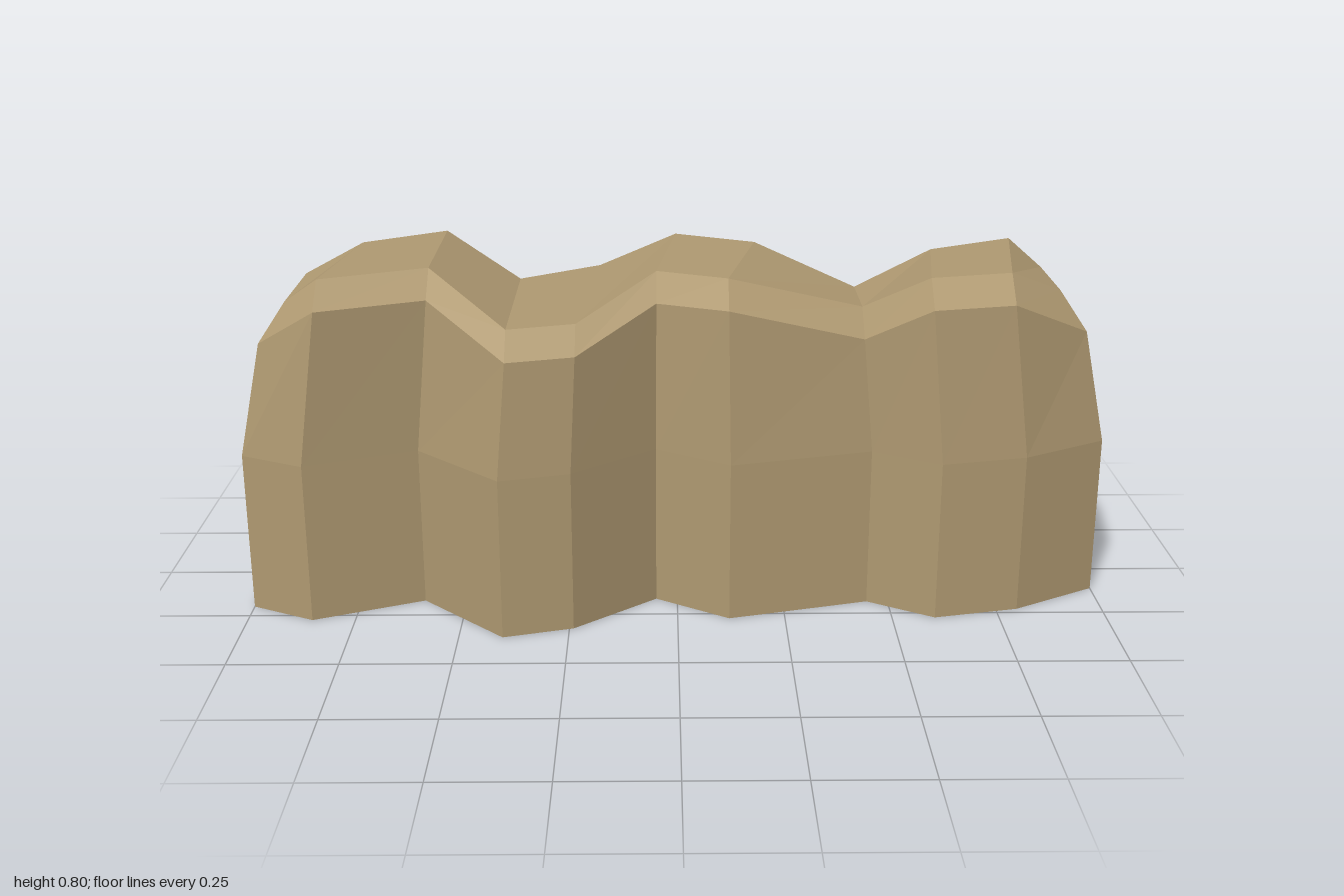
import * as THREE from 'three';

// Stations along the ridge: front x, front z, front crest y, back x, back z, back crest y
const STATIONS = [
  [-1.00, 0.20, 0.735, -1.00, -0.14, 0.735],
  [-0.85, 0.275, 0.795, -0.80, -0.245, 0.795],
  [-0.60, 0.17, 0.795, -0.60, -0.37, 0.795],
  [-0.40, 0.37, 0.705, -0.40, -0.24, 0.705],
  [-0.24, 0.325, 0.705, -0.20, -0.375, 0.705],
  [-0.05, 0.165, 0.785, 0.00, -0.375, 0.785],
  [0.12, 0.275, 0.795, 0.20, -0.24, 0.795],
  [0.45, 0.185, 0.705, 0.45, -0.155, 0.705],
  [0.60, 0.275, 0.795, 0.64, -0.16, 0.795],
  [0.80, 0.23, 0.795, 0.86, -0.275, 0.795],
  [1.00, 0.115, 0.735, 1.00, -0.185, 0.735],
];

// One side of a station: foot, waist, shoulder and crest edge
function sidePoints(x, z, crest, isEnd) {
  const inset = isEnd ? 0.04 : 0.08;
  return [
    [x, 0, z],
    [x, 0.38, z],
    [x * 0.945, crest - (isEnd ? 0.09 : 0.058), z * 0.95],
    [x * (isEnd ? 0.885 : 0.945), crest, z - Math.sign(z) * inset],
  ];
}

function ridgeGeometry() {
  const last = STATIONS.length - 1;
  // Each loop climbs the front, crosses the top and descends the back
  const loops = STATIONS.map(([fx, fz, fy, bx, bz, by], i) => {
    const isEnd = i === 0 || i === last;
    return [...sidePoints(fx, fz, fy, isEnd), ...sidePoints(bx, bz, by, isEnd).reverse()];
  });
  const positions = [];
  const quad = (a, b, c, d) => positions.push(...a, ...b, ...c, ...a, ...c, ...d);

  // Skin between neighbouring loops, including the underside
  for (let i = 0; i < last; i++) {
    for (let k = 0; k < 8; k++) {
      const n = (k + 1) % 8;
      quad(loops[i][k], loops[i + 1][k], loops[i + 1][n], loops[i][n]);
    }
  }
  // Bevelled end faces
  const left = loops[0];
  const right = loops[last];
  for (let k = 0; k < 3; k++) {
    quad(right[k], right[7 - k], right[6 - k], right[k + 1]);
    quad(left[7 - k], left[k], left[k + 1], left[6 - k]);
  }

  const geometry = new THREE.BufferGeometry();
  geometry.setAttribute('position', new THREE.Float32BufferAttribute(positions, 3));
  geometry.computeVertexNormals();
  return geometry;
}

export function createModel() {
  const group = new THREE.Group();
  group.name = 'cliff';
  const material = new THREE.MeshStandardMaterial({ color: 0xb09a72, flatShading: true });
  const rock = new THREE.Mesh(ridgeGeometry(), material);
  rock.name = 'rockRidge';
  group.add(rock);
  return group;
}
